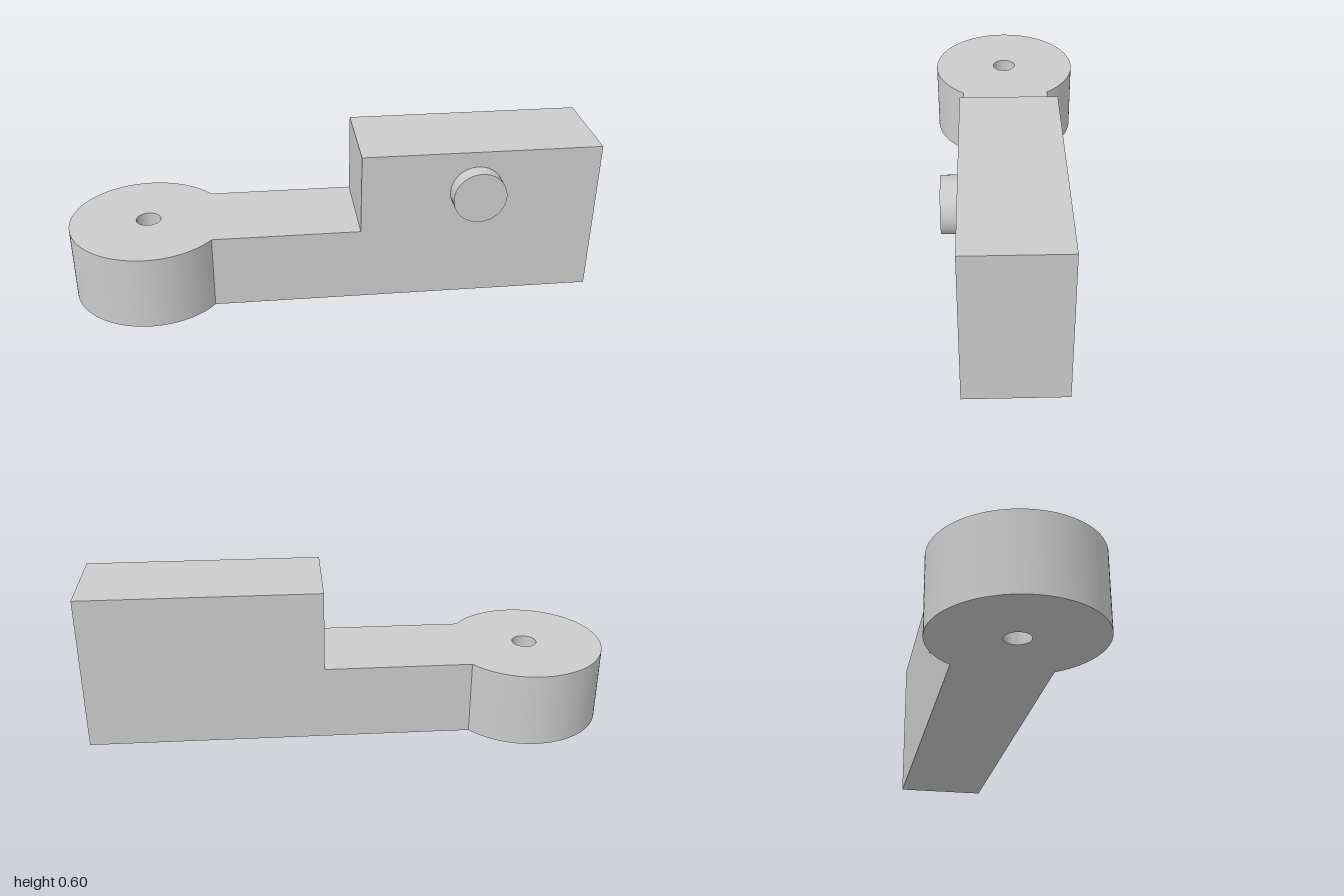
import * as THREE from 'three';
import { toCreasedNormals } from 'three/addons/utils/BufferGeometryUtils.js';

const HALF_WIDTH = 0.18;   // half the depth of the arm and block
const EYE_X = -0.7;        // centre of the round end
const EYE_RADIUS = 0.3;
const STEP_X = 0.1;        // where the low arm meets the tall block

export function createModel() {
  const model = new THREE.Group();
  const material = new THREE.MeshStandardMaterial({ color: 0xcccccc });

  const add = (name, geometry, x = 0, y = 0, z = 0) => {
    const mesh = new THREE.Mesh(geometry, material);
    mesh.name = name;
    mesh.position.set(x, y, z);
    model.add(mesh);
  };

  // Low arm with its round, pierced end: one plan outline raised upward
  const angle = Math.asin(HALF_WIDTH / EYE_RADIUS);
  const plan = new THREE.Shape();
  plan.moveTo(STEP_X, -HALF_WIDTH);
  plan.lineTo(STEP_X, HALF_WIDTH);
  plan.absarc(EYE_X, 0, EYE_RADIUS, angle, Math.PI * 2 - angle, false);
  plan.closePath();
  const hole = new THREE.Path();
  hole.absarc(EYE_X, 0, 0.047, 0, Math.PI * 2, true);
  plan.holes.push(hole);
  const arm = new THREE.ExtrudeGeometry(plan, { depth: 0.29, bevelEnabled: false, curveSegments: 48 });
  arm.rotateX(-Math.PI / 2);
  add('roundEndedArm', toCreasedNormals(arm, 0.6));

  // Tall rectangular block
  add('block', new THREE.BoxGeometry(1 - STEP_X, 0.6, HALF_WIDTH * 2), (1 + STEP_X) / 2, 0.3, 0);

  // Round button on the front of the block
  const button = new THREE.CylinderGeometry(0.1, 0.1, 0.06, 48);
  button.rotateX(Math.PI / 2);
  add('button', button, 0.535, 0.44, HALF_WIDTH + 0.03);

  return model;
}
